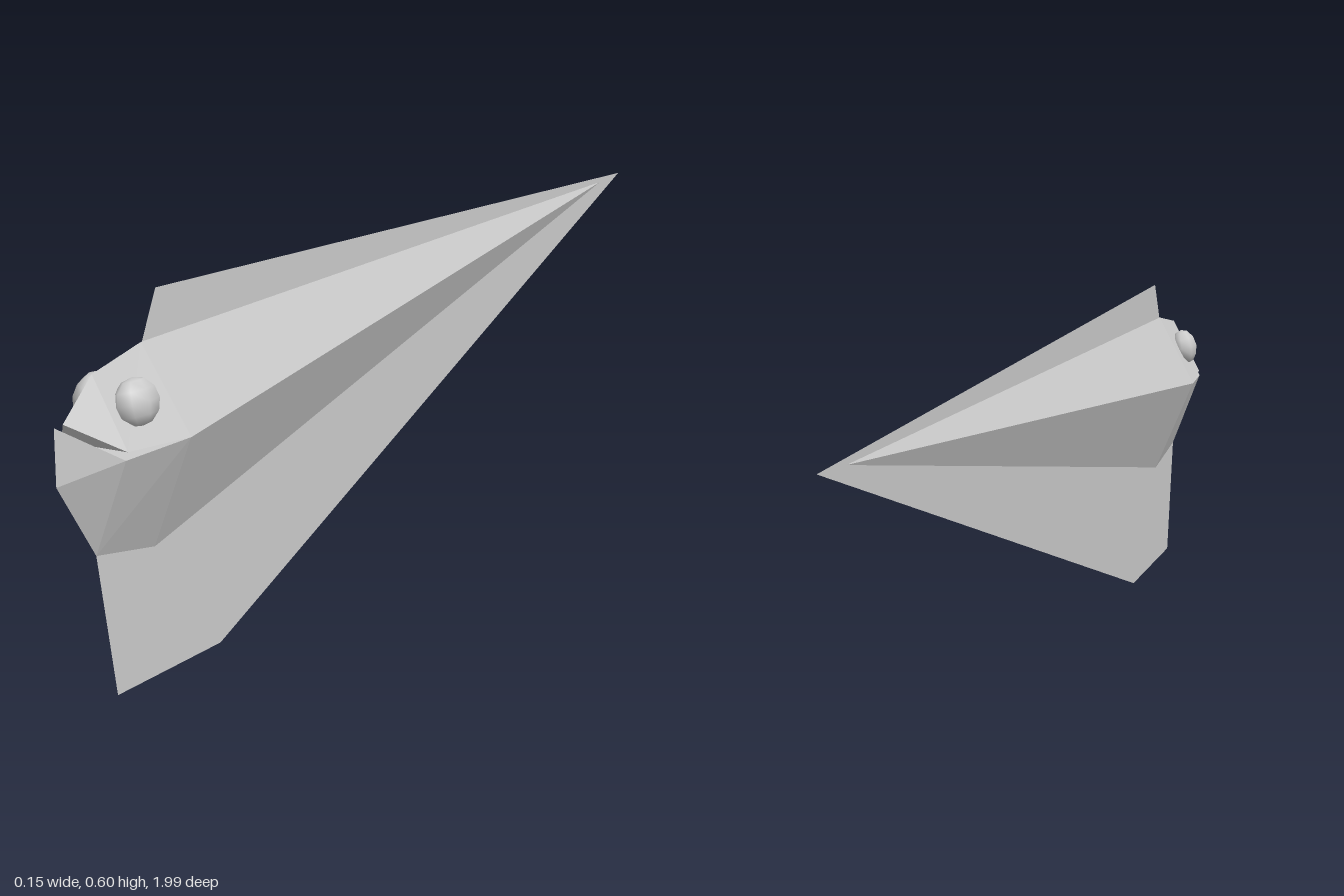
import * as THREE from 'three';

const material = (options = {}) => new THREE.MeshStandardMaterial({ color: 0xcccccc, ...options });

// Skin a mirrored strip through rows of points; rows run tail to head,
// points in a row run from the upper edge to the lower edge on the +x side.
function loft(rows) {
  const positions = [];
  const mirror = ([x, y, z]) => [-x, y, z];
  const triangle = (a, b, c) => {
    positions.push(...a, ...b, ...c, ...mirror(a), ...mirror(c), ...mirror(b));
  };
  for (let i = 0; i < rows.length - 1; i++) {
    for (let j = 0; j < rows[i].length - 1; j++) {
      const a = rows[i][j], b = rows[i + 1][j], c = rows[i + 1][j + 1], d = rows[i][j + 1];
      triangle(a, b, c);
      triangle(a, c, d);
    }
  }
  const geometry = new THREE.BufferGeometry();
  geometry.setAttribute('position', new THREE.Float32BufferAttribute(positions, 3));
  geometry.computeVertexNormals();
  return geometry;
}

// Thin fin in the x = 0 plane, outlined by [z, y] points
function finGeometry(outline) {
  const shape = new THREE.Shape(outline.map(([z, y]) => new THREE.Vector2(-z, y)));
  return new THREE.ShapeGeometry(shape).rotateY(Math.PI / 2);
}

export function createModel() {
  const group = new THREE.Group();
  const add = (name, geometry, options) => {
    const mesh = new THREE.Mesh(geometry, material(options));
    mesh.name = name;
    group.add(mesh);
    return mesh;
  };
  const flat = { flatShading: true };
  const open = { flatShading: true, side: THREE.DoubleSide };

  const tail = [0, 0.51, -0.89];
  const cheek = [0.076, 0.396, 0.78];
  const upperLip = [0.057, 0.405, 0.91], snout = [0, 0.455, 0.98];
  const lowerLip = [0.057, 0.394, 0.915], chin = [0, 0.455, 1];

  // Back and head, with a straight ridge
  add('upperBody', loft([
    [tail, tail],
    [[0, 0.53, 0.79], cheek],
    [[0, 0.51, 0.91], upperLip],
    [snout, snout],
  ]), flat);

  // Belly and lower jaw
  add('lowerBody', loft([
    [tail, tail],
    [cheek, [0, 0.215, 0.77]],
    [lowerLip, [0, 0.245, 0.915]],
    [chin, [0, 0.37, 1]],
  ]), flat);

  // Inside of the narrow mouth
  add('mouthRoof', loft([
    [cheek, [0, 0.396, 0.78]],
    [upperLip, [0, 0.405, 0.91]],
    [snout, snout],
  ]), open);
  add('mouthFloor', loft([
    [[0, 0.396, 0.78], cheek],
    [[0, 0.394, 0.915], lowerLip],
    [chin, chin],
  ]), open);

  // Long flat fins that meet behind the tail
  add('dorsalFin', finGeometry([
    [0.79, 0.525], [0.75, 0.602], [-0.99, 0.515], [-0.72, 0.508],
  ]), open);
  add('ventralFin', finGeometry([
    [0.915, 0.245], [0.875, 0.018], [0.6, 0.003], [-0.99, 0.515], [-0.72, 0.508], [0.77, 0.3],
  ]), open);

  // Bulging eyes
  for (const side of [1, -1]) {
    const eye = add(side > 0 ? 'leftEye' : 'rightEye', new THREE.SphereGeometry(1, 8, 6));
    eye.scale.set(0.026, 0.036, 0.041);
    eye.position.set(side * 0.037, 0.462, 0.857);
    eye.rotation.set(0, -side * 0.12, side * 0.2);
  }

  return group;
}
